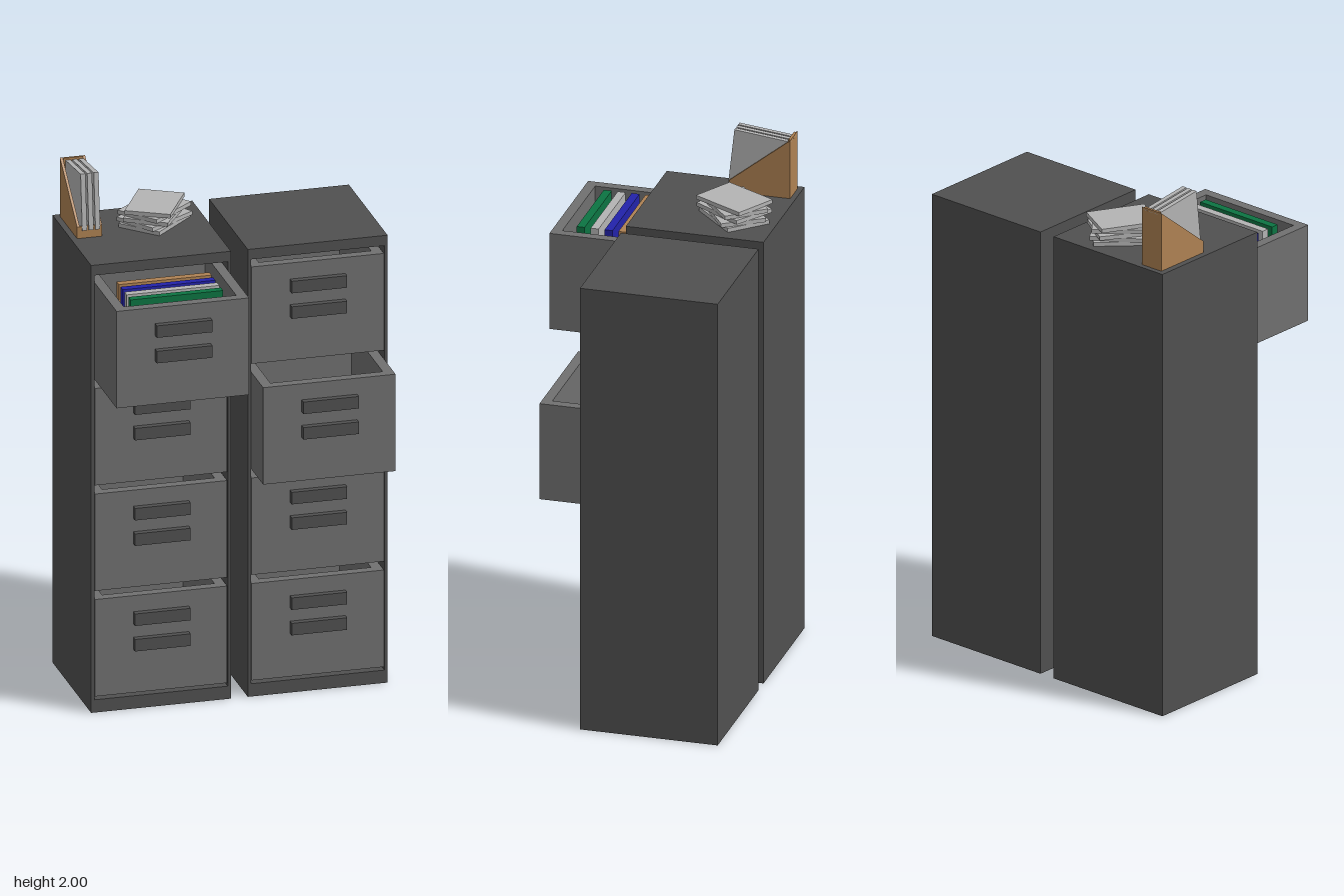
import * as THREE from 'three';

const mat = (name, color) => {
  const m = new THREE.MeshStandardMaterial({ color });
  m.name = name;
  return m;
};

export function createModel() {
  const darkMetal = mat('dark metal', 0x505050);
  const drawerGrey = mat('drawer grey', 0x707070);
  const paper = mat('paper', 0xb4b4b4);
  const tan = mat('tan card', 0xaf8253);
  const blue = mat('blue card', 0x2222aa);
  const green = mat('green card', 0x0c7442);

  const model = new THREE.Group();
  model.name = 'filingCabinets';

  const group = (name, parent = model) => {
    const g = new THREE.Group();
    g.name = name;
    parent.add(g);
    return g;
  };
  const add = (parent, name, geometry, material) => {
    const mesh = new THREE.Mesh(geometry, material);
    mesh.name = name;
    parent.add(mesh);
    return mesh;
  };
  // box given by its min and max on each axis
  const box = (parent, name, material, [x0, x1], [y0, y1], [z0, z1]) => {
    const mesh = add(parent, name, new THREE.BoxGeometry(x1 - x0, y1 - y0, z1 - z0), material);
    mesh.position.set((x0 + x1) / 2, (y0 + y1) / 2, (z0 + z1) / 2);
    return mesh;
  };

  const H = 1.755, W = 0.265, BACK = -0.42, FRONT = 0.104;

  // open-topped drawer with two bar handles; origin at bottom of its front face
  const drawer = (parent, name, y, pull) => {
    const d = group(name, parent);
    d.position.set(0, y, FRONT + pull);
    const w = 0.251, h = 0.38, t = 0.038, len = 0.5;
    box(d, 'drawerFront', drawerGrey, [-w, w], [0, h], [-t, 0]);
    box(d, 'drawerBack', drawerGrey, [-w, w], [0, h], [-len, -len + t]);
    box(d, 'drawerFloor', drawerGrey, [-w + t, w - t], [0, t], [-len + t, -t]);
    for (const s of [-1, 1]) {
      const a = s * w, b = s * (w - t);
      box(d, 'drawerSide', drawerGrey, [Math.min(a, b), Math.max(a, b)], [0, h], [-len + t, -t]);
    }
    for (const hy of [0.17, 0.27]) {
      box(d, 'handle', darkMetal, [-0.105, 0.105], [hy, hy + 0.047], [0, 0.024]);
    }
    return d;
  };

  // cabinet shell open at the front, holding four drawers
  const cabinet = (name, x, pulls) => {
    const c = group(name);
    c.position.x = x;
    const outline = new THREE.Shape([[-W, 0], [W, 0], [W, H], [-W, H]].map(p => new THREE.Vector2(...p)));
    const s = W - 0.012;
    outline.holes.push(new THREE.Path([[-s, 0.05], [-s, 1.715], [s, 1.715], [s, 0.05]].map(p => new THREE.Vector2(...p))));
    const shell = new THREE.ExtrudeGeometry(outline, { depth: FRONT - BACK - 0.012, bevelEnabled: false });
    add(c, 'shell', shell, darkMetal).position.z = BACK + 0.012;
    box(c, 'backPanel', darkMetal, [-W, W], [0, H], [BACK, BACK + 0.012]);
    return pulls.map((pull, i) => drawer(c, 'drawer' + (i + 1), 0.063 + i * 0.414, pull));
  };

  const rightDrawers = cabinet('rightCabinet', -0.297, [0, 0, 0, 0.295]);
  cabinet('leftCabinet', 0.297, [0, 0, 0.158, 0]);

  // hanging folders in the open top drawer
  const folders = group('folders', rightDrawers[3]);
  [green, paper, blue, tan].forEach((m, i) => {
    const z = -0.097 - i * 0.053;
    box(folders, 'folder', m, [-0.175, 0.176], [0.038, 0.386], [z - 0.015, z + 0.015]);
  });

  // magazine holder: sloping sides, tall back, low front
  const holder = group('magazineHolder');
  const x0 = -0.539, x1 = -0.444, t = 0.01, zb = -0.4, zf = -0.168, lip = 1.8;
  const side = new THREE.Shape([[zb, H], [zf, H], [zf, lip], [zb, 1.985]].map(p => new THREE.Vector2(...p)));
  const sideGeo = new THREE.ExtrudeGeometry(side, { depth: t, bevelEnabled: false }).rotateY(-Math.PI / 2);
  for (const x of [x0 + t, x1]) add(holder, 'holderSide', sideGeo, tan).position.x = x;
  box(holder, 'holderBack', tan, [x0 + t, x1 - t], [H, 1.985], [zb, zb + t]);
  box(holder, 'holderFront', tan, [x0 + t, x1 - t], [H, lip], [zf - t, zf]);
  box(holder, 'holderFloor', tan, [x0 + t, x1 - t], [H, H + t], [zb + t, zf - t]);

  // leaning magazines
  for (const x of [-0.512, -0.487, -0.462]) {
    const m = add(holder, 'magazine', new THREE.BoxGeometry(0.018, 0.215, 0.216), paper);
    m.position.set(x, 1.881, -0.281);
    m.rotation.x = -0.11;
  }

  // loose pile of paper, each bundle turned a little
  const pile = group('paperPile');
  [-46, -56, -33, -50, -29].forEach((deg, i) => {
    const p = add(pile, 'paperBundle', new THREE.BoxGeometry(0.172, 0.0155, 0.224), paper);
    p.position.set(-0.222, H + 0.008 + i * 0.016, -0.253);
    p.rotation.y = THREE.MathUtils.degToRad(deg);
  });

  return model;
}
